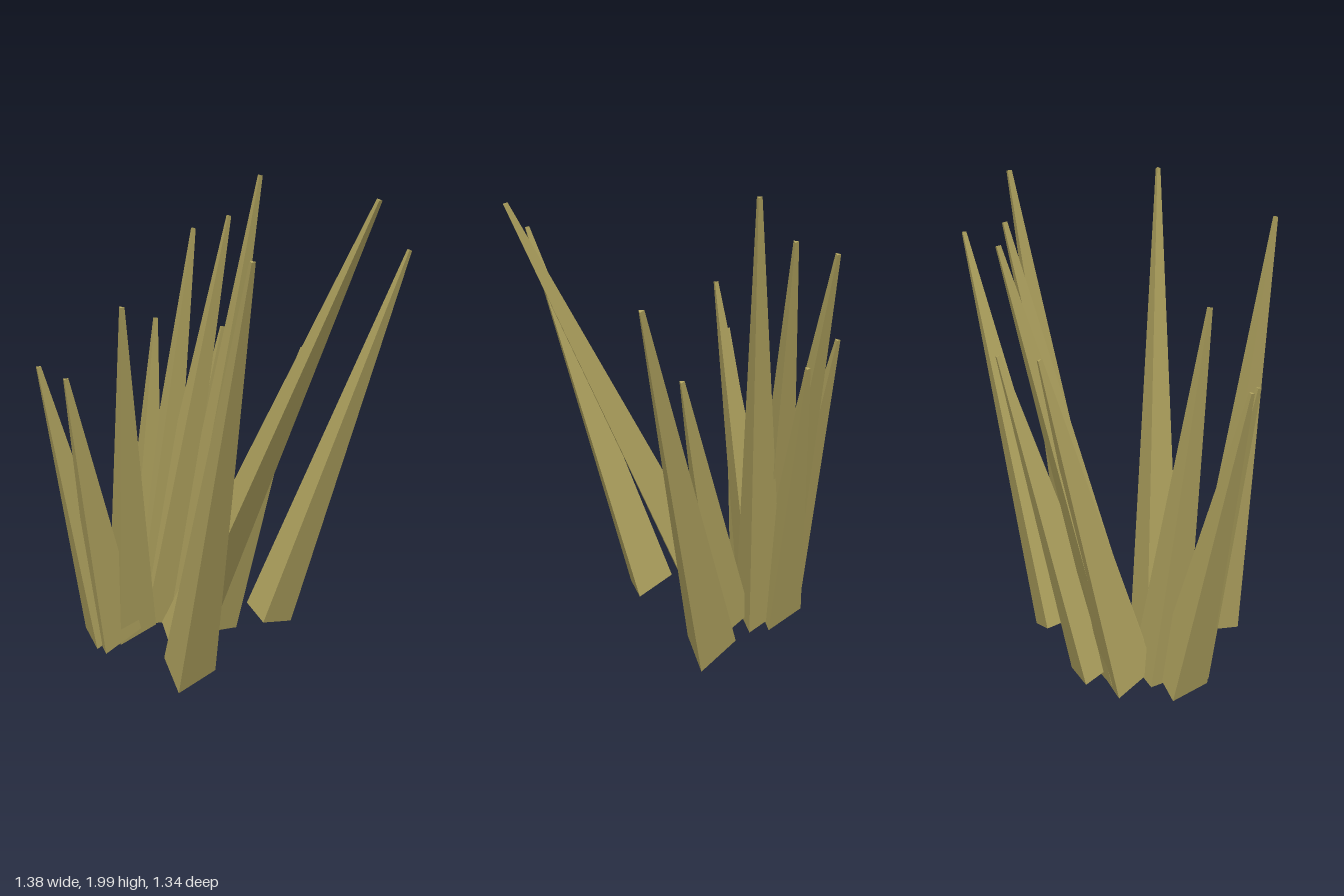
import * as THREE from 'three';

// Each blade: base centre x, z, then tip x, y, z
const BLADES = [
  [-0.485, 0.03, -0.655, 1.758, 0.52],
  [-0.263, -0.205, -0.115, 1.943, 0.663],
  [0.184, -0.09, 0.68, 1.683, 0.297],
  [-0.045, -0.225, 0.253, 1.285, 0.047],
  [-0.06, -0.38, 0.31, 1.997, -0.235],
  [-0.07, -0.475, 0.305, 1.32, -0.452],
  [-0.172, -0.467, 0.285, 1.82, -0.393],
  [-0.2, -0.49, 0.255, 1.758, -0.578],
  [-0.21, -0.525, 0.085, 1.365, -0.66],
  [-0.42, -0.51, -0.672, 1.265, -0.58],
  [-0.42, -0.457, -0.682, 1.24, -0.408],
  [-0.325, -0.462, -0.48, 1.51, -0.292],
];
const BASE_Y = 0.05;

export function createModel() {
  const group = new THREE.Group();
  group.name = 'grassTuft';
  const dryGrass = new THREE.MeshStandardMaterial({ color: 0xb0a35f, flatShading: true });
  dryGrass.name = 'dryGrass';

  const up = new THREE.Vector3(0, 1, 0);
  BLADES.forEach(([bx, bz, tx, ty, tz], i) => {
    const base = new THREE.Vector3(bx, BASE_Y, bz);
    const axis = new THREE.Vector3(tx, ty, tz).sub(base);
    const length = axis.length();

    // Three-sided tapered blade with one edge at the back
    const geometry = new THREE.CylinderGeometry(0.0125, 0.125, length, 3, 1, false, Math.PI);
    geometry.translate(0, length / 2, 0);

    const blade = new THREE.Mesh(geometry, dryGrass);
    blade.name = `grassBlade${i + 1}`;
    blade.position.copy(base);
    blade.quaternion.setFromUnitVectors(up, axis.normalize());
    group.add(blade);
  });
  return group;
}
